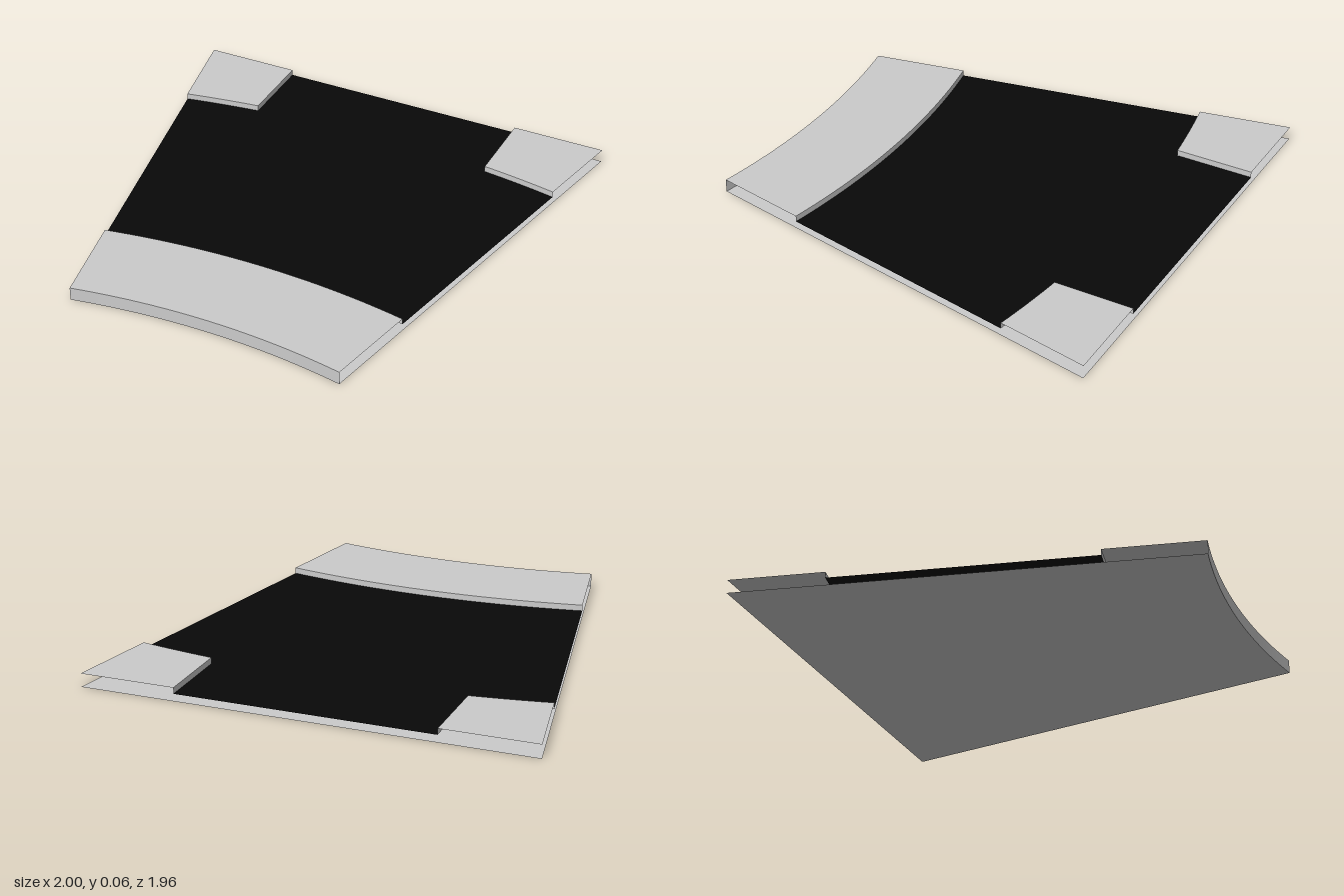
import * as THREE from 'three';

const TOP = 0.06, MID = 0.033;      // heights of the raised pads and the dark sheet
const CZ = 4.18;                    // common centre of all arcs, on the z axis
const R_FRONT = 3.26, R_INNER = 3.69, R_REAR = 4.836;
const BACK = -0.98, NOTCH = 0.573;
const SIDE = Math.atan(1 / (CZ - BACK)); // half angle of the wedge

const grey = new THREE.MeshStandardMaterial({ color: 0xcccccc, side: THREE.DoubleSide });
const black = new THREE.MeshStandardMaterial({ color: 0x080808, side: THREE.DoubleSide });

// Points [x, z] along an arc around the common centre
function arc(r, from, to, n = 24) {
  return Array.from({ length: n + 1 }, (_, i) => {
    const a = from + (to - from) * i / n;
    return [r * Math.sin(a), CZ - r * Math.cos(a)];
  });
}

// Flat horizontal sheet with the given outline
function sheet(name, points, y, material) {
  const shape = new THREE.Shape(points.map(([x, z]) => new THREE.Vector2(x, -z)));
  const mesh = new THREE.Mesh(new THREE.ShapeGeometry(shape).rotateX(-Math.PI / 2), material);
  mesh.position.y = y;
  mesh.name = name;
  return mesh;
}

// Upright strip along a line of points; faces the right of the direction of travel seen from above
function wall(name, points, y0, y1) {
  const pos = [], index = [];
  points.forEach(([x, z], i) => {
    pos.push(x, y0, z, x, y1, z);
    const a = 2 * i;
    if (i) index.push(a - 2, a, a + 1, a - 2, a + 1, a - 1);
  });
  const geo = new THREE.BufferGeometry();
  geo.setAttribute('position', new THREE.Float32BufferAttribute(pos, 3));
  geo.setIndex(index);
  geo.computeVertexNormals();
  const mesh = new THREE.Mesh(geo, grey);
  mesh.name = name;
  return mesh;
}

export function createModel() {
  const model = new THREE.Group();
  model.name = 'wedgePanel';

  const frontArc = arc(R_FRONT, -SIDE, SIDE);
  const innerArc = arc(R_INNER, SIDE, -SIDE);
  const notchAngle = Math.asin(NOTCH / R_REAR);
  const rearLeft = arc(R_REAR, SIDE, notchAngle, 8);
  const rearRight = arc(R_REAR, -notchAngle, -SIDE, 8);

  // Base sheet
  model.add(sheet('base', [...frontArc, [1, BACK], [-1, BACK]], 0, grey));

  // Dark recessed sheet between the pads
  model.add(sheet('recessedSheet', [
    ...innerArc.slice().reverse(), ...rearLeft,
    [NOTCH, BACK], [-NOTCH, BACK], ...rearRight,
  ], MID, black));

  // Front pad with its outer and inner walls
  const front = new THREE.Group();
  front.name = 'frontPad';
  front.add(
    sheet('frontPadTop', [...frontArc, ...innerArc], TOP, grey),
    wall('frontWall', frontArc, 0, TOP),
    wall('frontPadInnerWall', innerArc, MID, TOP),
  );
  model.add(front);

  // Rear corner pads with walls towards the dark sheet
  for (const [side, s, edge] of [['Left', 1, rearLeft.slice().reverse()], ['Right', -1, rearRight.slice().reverse()]]) {
    const inner = s > 0 ? edge[0] : edge[edge.length - 1];
    const seam = [[s * NOTCH, BACK], inner];
    if (s < 0) seam.reverse();
    const pad = new THREE.Group();
    pad.name = 'rearPad' + side;
    pad.add(
      sheet('rearPadTop' + side, s > 0
        ? [...edge, [1, BACK], [NOTCH, BACK]]
        : [...edge, [-NOTCH, BACK], [-1, BACK]], TOP, grey),
      wall('rearPadFrontWall' + side, edge, MID, TOP),
      wall('rearPadSideWall' + side, seam, MID, TOP),
    );
    model.add(pad);
  }
  return model;
}
